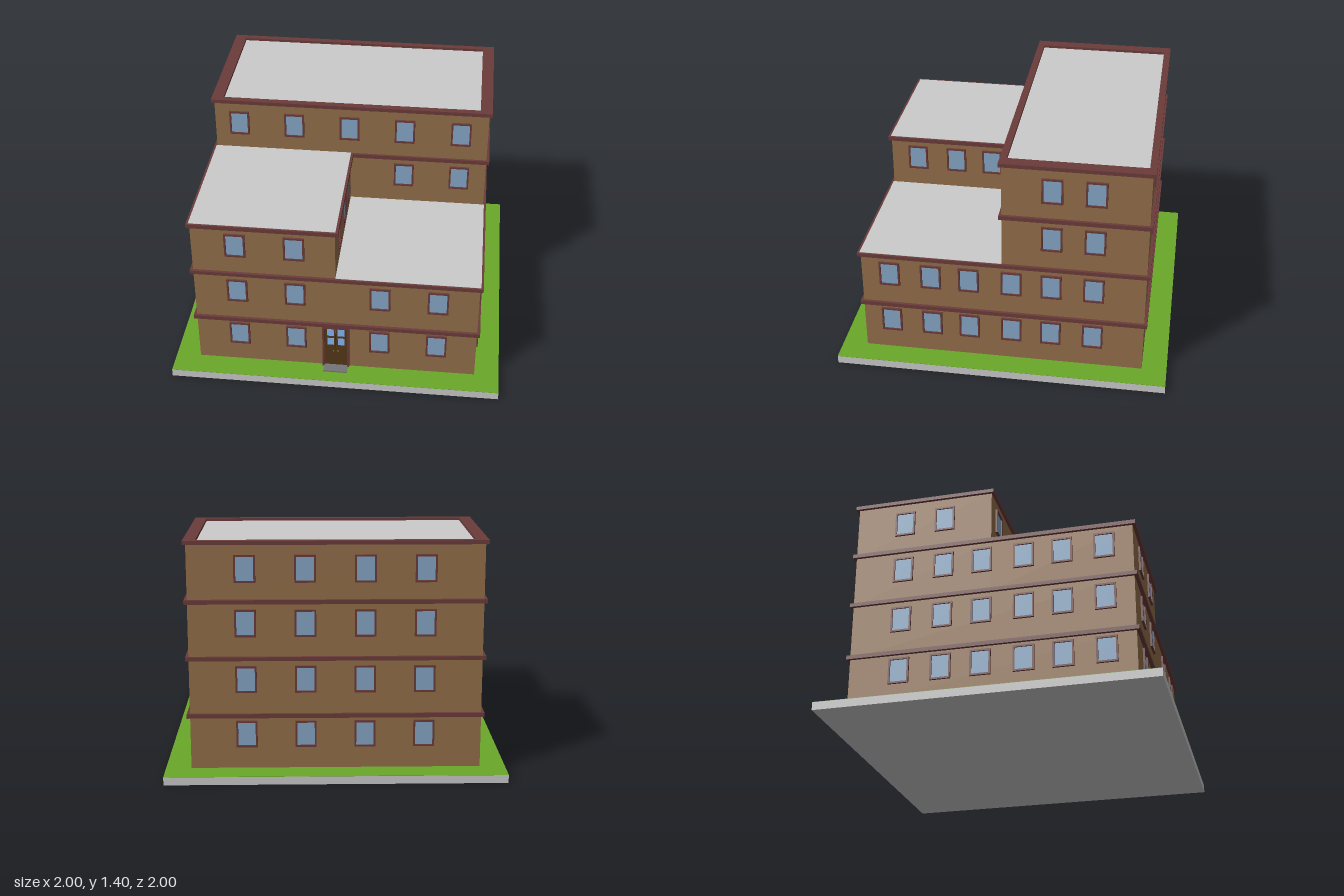
import * as THREE from 'three';

const mat = (color) => new THREE.MeshStandardMaterial({ color });
const M = {
  wall: mat(0x946f4a), trim: mat(0x6b3c3a), glass: mat(0x86a8c8), grass: mat(0x6aa829),
  grey: mat(0xcccccc), door: mat(0x563818), doorGlass: mat(0x86b9fa), step: mat(0x757578), knob: mat(0x8a7a50),
};

// Box given by its min and max corners
function box(parent, name, material, x0, x1, y0, y1, z0, z1) {
  const mesh = new THREE.Mesh(new THREE.BoxGeometry(x1 - x0, y1 - y0, z1 - z0), material);
  mesh.position.set((x0 + x1) / 2, (y0 + y1) / 2, (z0 + z1) / 2);
  mesh.name = name;
  parent.add(mesh);
  return mesh;
}

// Rectangle path around the origin, for frames and rings
function rect(PathType, w, h) {
  const p = new PathType();
  p.moveTo(-w / 2, -h / 2);
  p.lineTo(w / 2, -h / 2);
  p.lineTo(w / 2, h / 2);
  p.lineTo(-w / 2, h / 2);
  p.closePath();
  return p;
}

function frameGeometry(w, h, bx, by, depth) {
  const shape = rect(THREE.Shape, w, h);
  shape.holes.push(rect(THREE.Path, w - 2 * bx, h - 2 * by));
  return new THREE.ExtrudeGeometry(shape, { depth, bevelEnabled: false });
}

const windowFrame = frameGeometry(0.124, 0.16, 0.011, 0.011, 0.012);
const windowGlass = new THREE.BoxGeometry(0.104, 0.14, 0.008);

function addWindow(parent, x, y, z, turn) {
  const g = new THREE.Group();
  g.name = 'window';
  const frame = new THREE.Mesh(windowFrame, M.trim);
  frame.name = 'windowFrame';
  const pane = new THREE.Mesh(windowGlass, M.glass);
  pane.name = 'windowPane';
  g.add(frame, pane);
  g.position.set(x, y, z);
  g.rotation.y = turn;
  parent.add(g);
}

export function createModel() {
  const model = new THREE.Group();
  model.name = 'building';
  const W = 0.85, T = 0.868;

  // Ground slab with lawn
  box(model, 'groundSlab', M.grey, -1, 1, 0, 0.048, -1, 1);
  box(model, 'lawn', M.grass, -1, 1, 0.048, 0.05, -1, 1);

  // Storeys: two full floors, an L-shaped third, a rear fourth
  box(model, 'firstStorey', M.wall, -W, W, 0.05, 0.37, -W, W);
  box(model, 'secondStorey', M.wall, -W, W, 0.37, 0.715, -W, W);
  box(model, 'thirdStoreyRear', M.wall, -W, W, 0.715, 1.05, -W, 0);
  box(model, 'thirdStoreyWing', M.wall, -W, 0, 0.715, 1.05, 0, W);
  box(model, 'fourthStorey', M.wall, -W, W, 1.05, 1.387, -W, 0);

  // Trim bands between the storeys
  box(model, 'firstBand', M.trim, -T, T, 0.36, 0.385, -T, T);
  box(model, 'secondBand', M.trim, -T, T, 0.705, 0.728, -T, T);
  box(model, 'thirdBandRear', M.trim, -T, T, 1.039, 1.064, -T, 0.015);
  box(model, 'thirdBandWing', M.trim, -T, 0.018, 1.039, 1.064, 0.015, T);

  // Flat roofs of the two front wings
  box(model, 'lowRoof', M.grey, 0, 0.855, 0.72, 0.73, 0, 0.855);
  box(model, 'wingRoof', M.grey, -0.855, 0.003, 1.056, 1.066, 0, 0.855);

  // Top roof inside a raised rim
  box(model, 'topRoof', M.grey, -0.82, 0.82, 1.38, 1.389, -0.84, -0.01);
  const rim = new THREE.Mesh(frameGeometry(2 * T, 0.883, 0.073, 0.041, 0.023), M.trim);
  rim.name = 'roofRim';
  rim.rotation.x = -Math.PI / 2;
  rim.position.set(0, 1.382, -0.4265);
  model.add(rim);

  // Windows, floor by floor
  const heights = [0.26, 0.592, 0.925, 1.243];
  const lowFront = [-0.59, -0.242, 0.265, 0.61];
  const front = [lowFront, lowFront, [-0.59, -0.242], [-0.697, -0.352, -0.007, 0.338, 0.685]];
  const side = [0.68, 0.43, 0.2, -0.055, -0.293, -0.545];
  const back = [0.52, 0.175, -0.17, -0.515];
  const quarter = Math.PI / 2;
  heights.forEach((y, floor) => {
    front[floor].forEach((x) => addWindow(model, x, y, floor === 3 ? 0 : W, 0));
    back.forEach((x) => addWindow(model, x, y, -W, Math.PI));
    side.slice(floor === 3 ? 4 : 0).forEach((z) => addWindow(model, -W, y, z, -quarter));
    side.slice(floor >= 2 ? 4 : 0).forEach((z) => addWindow(model, W, y, z, quarter));
  });
  // Third floor walls facing the low roof
  [0.338, 0.685].forEach((x) => addWindow(model, x, heights[2], 0, 0));
  side.slice(0, 3).forEach((z) => addWindow(model, 0, heights[2], z, quarter));

  // Double entrance door
  const door = new THREE.Group();
  door.name = 'entrance';
  model.add(door);
  for (const s of [-1, 1]) {
    const part = (name, m, a, b, y0, y1, z1) =>
      box(door, name, m, Math.min(s * a, s * b), Math.max(s * a, s * b), y0, y1, 0.845, z1);
    part('doorJamb', M.trim, 0.07, 0.082, 0.05, 0.36, 0.867);
    part('doorLeaf', M.door, 0.001, 0.07, 0.05, 0.35, 0.857);
    part('upperDoorPane', M.doorGlass, 0.012, 0.052, 0.288, 0.34, 0.859);
    part('lowerDoorPane', M.doorGlass, 0.012, 0.052, 0.218, 0.27, 0.859);
    part('doorKnob', M.knob, 0.01, 0.016, 0.167, 0.175, 0.863);
  }
  box(door, 'doorLintel', M.trim, -0.082, 0.082, 0.348, 0.362, 0.845, 0.867);
  box(door, 'doorStep', M.step, -0.072, 0.072, 0.05, 0.058, 0.85, 0.92);

  return model;
}
